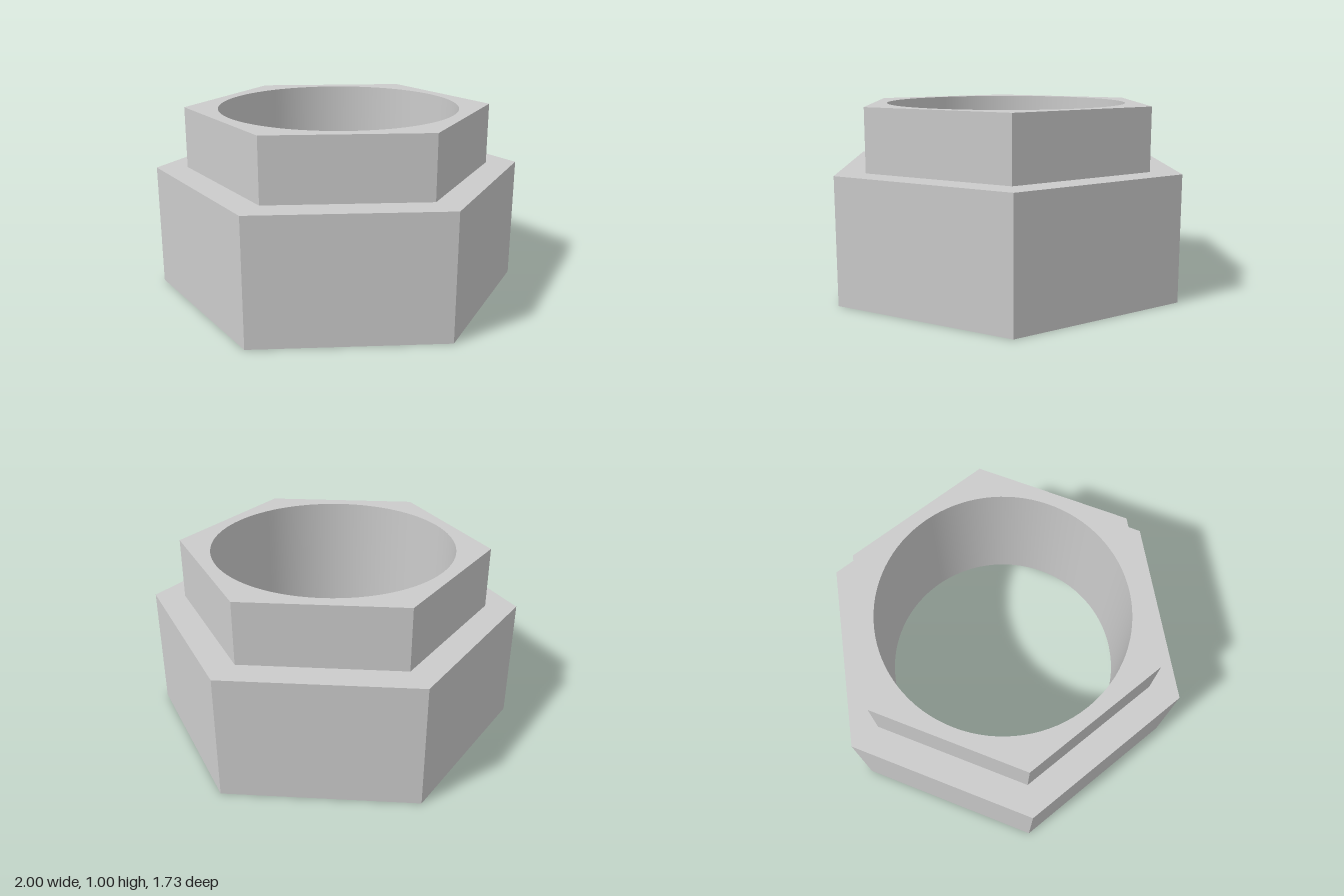
import * as THREE from 'three';

const BASE_R = 1, NECK_R = 0.832, SOCKET_R = 0.85, BORE_R = 0.65;
const SOCKET_Y = 0.18, STEP_Y = 0.667, TOP_Y = 1;
const HEX = 6, ROUND = 96;

const material = (options) => new THREE.MeshStandardMaterial({ color: 0xcccccc, ...options });
const flat = material({ flatShading: true });
const flatInside = material({ flatShading: true, side: THREE.BackSide });
const smoothInside = material({ side: THREE.BackSide });

// Regular polygon with a corner on +x
function polygon(radius, sides) {
  const points = [];
  for (let i = 0; i < sides; i++) {
    const a = (i / sides) * Math.PI * 2;
    points.push(new THREE.Vector2(radius * Math.cos(a), radius * Math.sin(a)));
  }
  return points;
}

// Upright open wall between two heights
function wall(name, radius, sides, y0, y1, mat) {
  const geometry = new THREE.CylinderGeometry(radius, radius, y1 - y0, sides, 1, true, Math.PI / 2);
  geometry.translate(0, (y0 + y1) / 2, 0);
  const mesh = new THREE.Mesh(geometry, mat);
  mesh.name = name;
  return mesh;
}

// Horizontal ring face, facing up (1) or down (-1)
function ring(name, outer, inner, y, facing) {
  const shape = new THREE.Shape(outer);
  shape.holes.push(new THREE.Path(inner));
  const geometry = new THREE.ShapeGeometry(shape);
  geometry.rotateX(-facing * Math.PI / 2).translate(0, y, 0);
  const mesh = new THREE.Mesh(geometry, flat);
  mesh.name = name;
  return mesh;
}

export function createModel() {
  const model = new THREE.Group();
  model.name = 'steppedHexCoupling';
  const baseHex = polygon(BASE_R, HEX);
  const neckHex = polygon(NECK_R, HEX);
  const socketHex = polygon(SOCKET_R, HEX);
  const bore = polygon(BORE_R, ROUND);

  model.add(
    // Wide lower hexagon and the step above it
    wall('baseWall', BASE_R, HEX, 0, STEP_Y, flat),
    ring('baseStep', baseHex, neckHex, STEP_Y, 1),
    // Narrower upper hexagon
    wall('neckWall', NECK_R, HEX, STEP_Y, TOP_Y, flat),
    ring('neckTop', neckHex, bore, TOP_Y, 1),
    // Round bore
    wall('boreWall', BORE_R, ROUND, SOCKET_Y, TOP_Y, smoothInside),
    // Hexagonal socket in the underside
    ring('socketCeiling', socketHex, bore, SOCKET_Y, -1),
    wall('socketWall', SOCKET_R, HEX, 0, SOCKET_Y, flatInside),
    ring('bottomRim', baseHex, socketHex, 0, -1),
  );
  return model;
}
